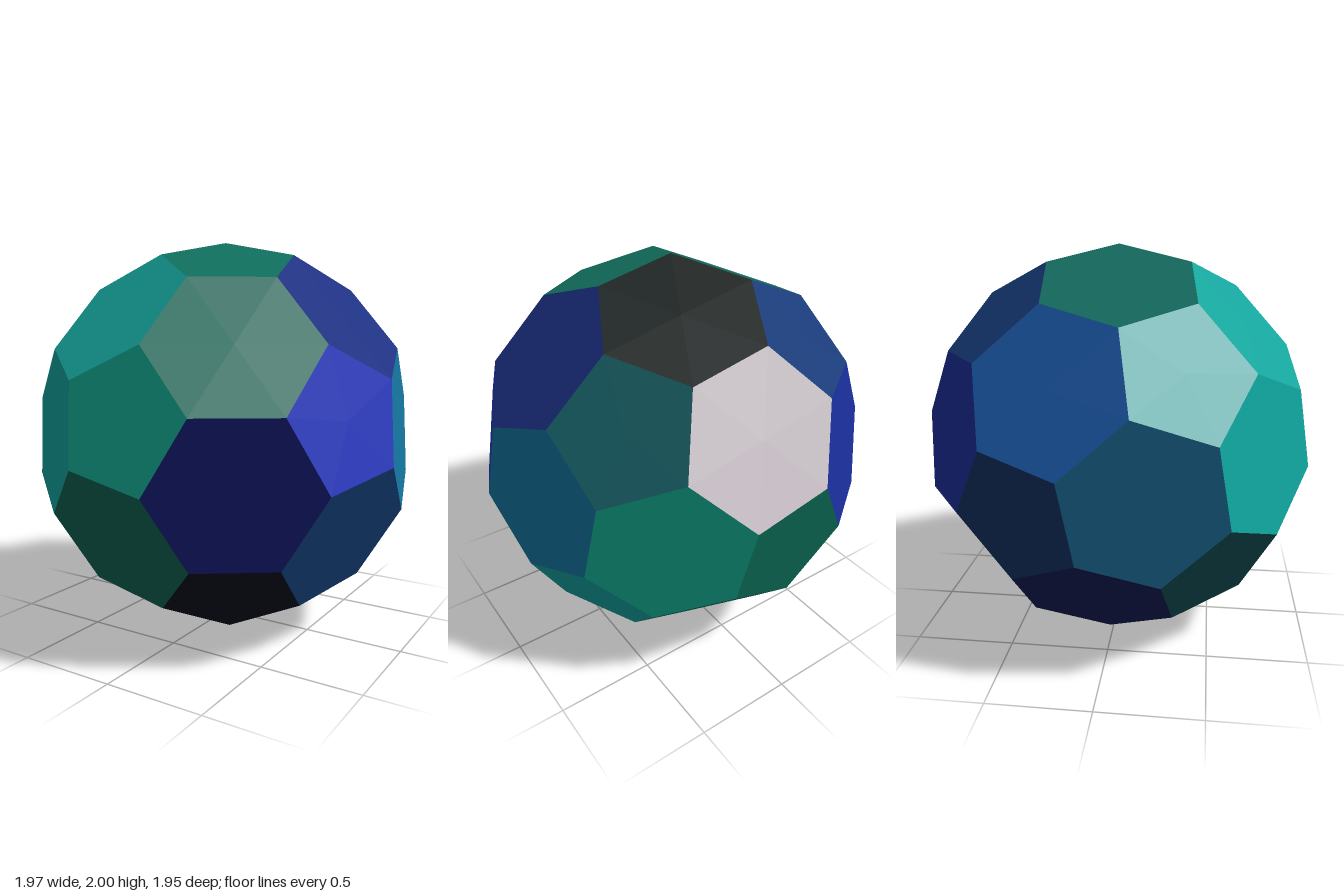
import * as THREE from 'three';

// Twelve poles A-F and their opposites a-f; one letter is a pentagon panel,
// three letters are the hexagon panel between those poles.
const PANELS = {
  // pentagons
  A: 0x11705e, B: 0x173a78, C: 0x12585e, D: 0x2638c4, E: 0x1c9e9c, F: 0x12a890,
  a: 0x0a3028, b: 0x07071f, c: 0x0d4a50, d: 0x163264, e: 0x10a8a6, f: 0x0c6a54,
  // hexagons
  ABC: 0x101a18, ACD: 0x1a2e82, ADF: 0x127262, AFE: 0x14a59c, AEB: 0x12665c,
  BCf: 0xc4bcc2, CDe: 0x1478a2, DFb: 0x14186a, FEc: 0x10a8a2, EBd: 0x1a54a0,
  abc: 0x280c14, acd: 0x141e5a, adf: 0x281a66, afe: 0x0d7662, aeb: 0x0a443a,
  bcF: 0x0e6856, cdE: 0x165a80, dfB: 0x1a2e9c, feC: 0x0f967e, ebD: 0x16427e,
};

// Icosahedron directions: one pole and its ring of five, plus opposites
function makePoles() {
  const poles = { A: new THREE.Vector3(0, 1, 0) };
  [...'BCDFE'].forEach((key, i) => {
    const t = (i * Math.PI * 2) / 5;
    poles[key] = new THREE.Vector3(2 * Math.cos(t), 1, 2 * Math.sin(t)).normalize();
  });
  for (const key of 'ABCDEF') poles[key.toLowerCase()] = poles[key].clone().negate();
  return poles;
}

// Corner of the ball a third of the way from pole p to pole q
const corner = (p, q) => p.clone().multiplyScalar(2).add(q).normalize();

export function createModel() {
  const model = new THREE.Group();
  model.name = 'panelledBall';
  const poles = makePoles();

  // Turn the ball so it balances on one corner, with an edge running along +x
  const up = corner(poles.A, poles.B);
  const right = corner(poles.A, poles.C);
  right.addScaledVector(up, -right.dot(up)).normalize();
  const front = right.clone().cross(up);
  const turn = new THREE.Matrix4().makeBasis(right, up, front).transpose();
  for (const key in poles) poles[key].applyMatrix4(turn);

  // Flat regular panels
  for (const [key, color] of Object.entries(PANELS)) {
    const sides = key.length === 1 ? 5 : 6;
    const around = [...key].map((k) => poles[k]);
    const normal = around.reduce((sum, p) => sum.add(p), new THREE.Vector3()).normalize();
    const next = around[1] ?? Object.values(poles).find((p) => Math.abs(p.dot(normal) - 0.4472) < 0.01);
    const first = corner(around[0], next);
    const centre = normal.clone().multiplyScalar(first.dot(normal));
    const spoke = first.clone().sub(centre);
    const geometry = new THREE.CircleGeometry(spoke.length(), sides);
    spoke.normalize();
    const place = new THREE.Matrix4().makeBasis(spoke, normal.clone().cross(spoke), normal);
    place.setPosition(centre.x, centre.y + 1, centre.z);
    geometry.applyMatrix4(place);

    const panel = new THREE.Mesh(geometry, new THREE.MeshStandardMaterial({ color }));
    panel.name = sides === 5 ? 'pentagonPanel' : 'hexagonPanel';
    model.add(panel);
  }
  return model;
}
